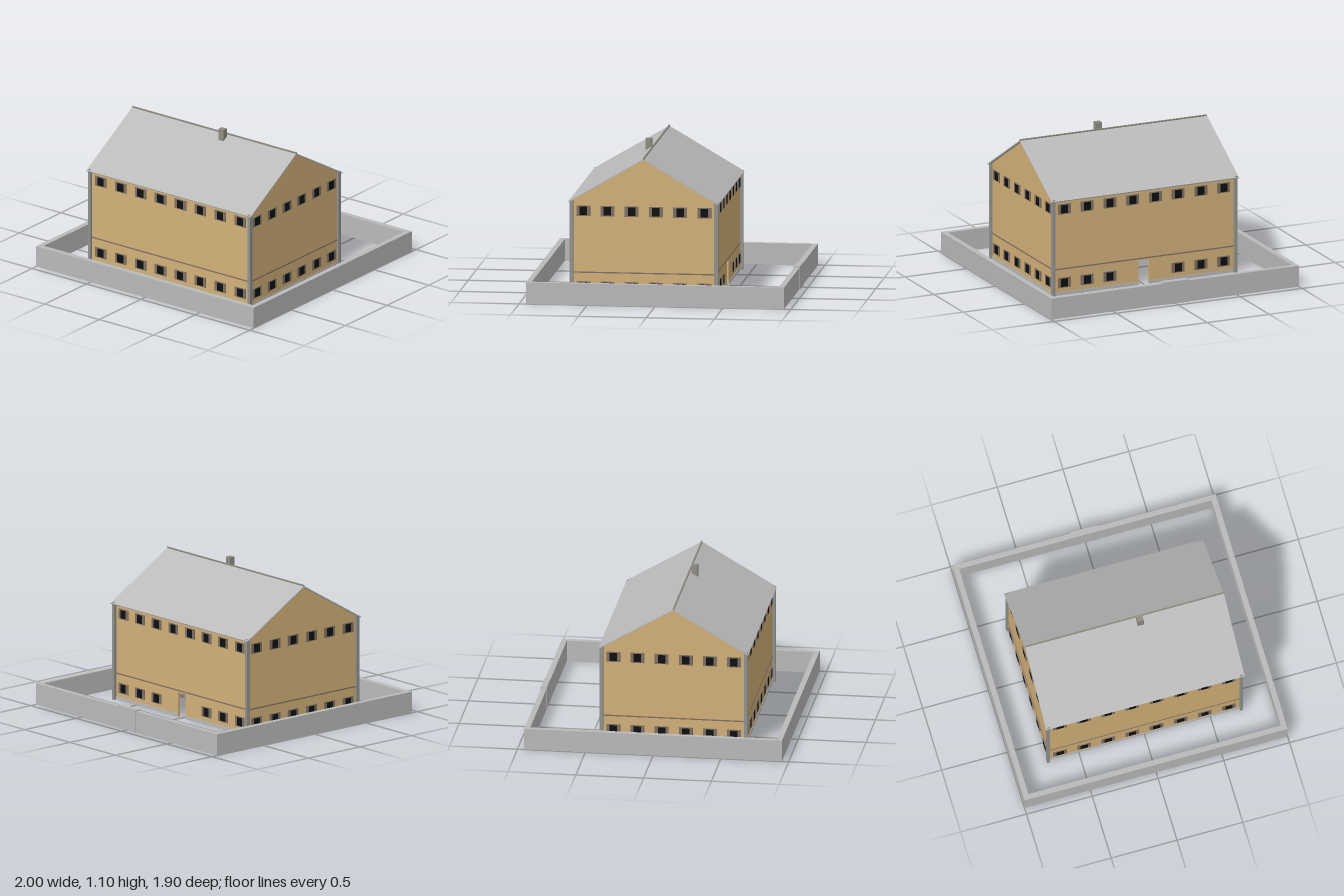
import * as THREE from 'three';

const mat = (name, color, side = THREE.FrontSide) => {
  const m = new THREE.MeshStandardMaterial({ color, side });
  m.name = name;
  return m;
};

export function createModel() {
  const model = new THREE.Group();
  const grey = mat('light grey', 0xbababa);
  const tan = mat('tan plaster', 0xd3b179);
  const post = mat('post grey', 0x92928e);
  const stone = mat('chimney stone', 0x8f8d82);
  const brown = mat('brown trim', 0x7f7064);
  const slabBrown = mat('dark brown', 0x5c4c42);
  const black = mat('window black', 0x0e1010);

  const add = (parent, name, geo, material, x = 0, y = 0, z = 0) => {
    const m = new THREE.Mesh(geo, material);
    m.name = name;
    m.position.set(x, y, z);
    parent.add(m);
    return m;
  };
  const box = (parent, name, material, x0, x1, y0, y1, z0, z1) =>
    add(parent, name, new THREE.BoxGeometry(x1 - x0, y1 - y0, z1 - z0), material,
      (x0 + x1) / 2, (y0 + y1) / 2, (z0 + z1) / 2);
  const extrude = (points, depth) => new THREE.ExtrudeGeometry(
    new THREE.Shape(points.map(p => new THREE.Vector2(...p))), { depth, bevelEnabled: false });

  // Yard wall with a gate at the back
  const yard = new THREE.Group();
  yard.name = 'yardWall';
  model.add(yard);
  const H = 0.16, T = 0.04;
  for (const s of [-1, 1]) {
    add(yard, 'longWall', new THREE.BoxGeometry(2, H, T), grey, 0, H / 2, s * (0.95 - T / 2));
    add(yard, 'sideWall', new THREE.BoxGeometry(T, H, 1.9 - 2 * T), grey, s * (1 - T / 2), H / 2, 0);
  }
  box(yard, 'gate', grey, -0.105, 0.1, 0, 0.17, -0.955, -0.908);

  // House, built around its own ridge line
  const house = new THREE.Group();
  house.name = 'house';
  house.position.z = 0.115;
  model.add(house);
  const X = 0.73, Z = 0.525, W = 0.02, EAVE = 0.733, APEX = 1.041;

  // Gable walls
  for (const s of [-1, 1]) {
    const g = extrude([[-Z, 0], [Z, 0], [Z, EAVE], [0, APEX], [-Z, EAVE]], W);
    g.rotateY(Math.PI / 2);
    add(house, 'gableWall', g, tan, s > 0 ? X - W : -X);
  }
  // Front wall, and back wall with its doorway
  const L = X - W, D = 0.042;
  box(house, 'frontWall', tan, -L, L, 0, EAVE, Z - W, Z);
  add(house, 'backWall', extrude([[-L, 0], [-D, 0], [-D, 0.185], [D, 0.185], [D, 0],
    [L, 0], [L, EAVE], [-L, EAVE]], W), tan, 0, 0, -Z);

  // Upper floor slab, showing as a thin band outside
  box(house, 'floorSlab', slabBrown, -L, L, 0.185, 0.2, -Z + W, Z - W);
  for (const s of [-1, 1]) {
    add(house, 'band', new THREE.BoxGeometry(2 * X, 0.009, 0.006), brown, 0, 0.2, s * Z);
    add(house, 'band', new THREE.BoxGeometry(0.006, 0.009, 2 * Z), brown, s * X, 0.2, 0);
    // Low plinth
    add(house, 'plinth', new THREE.BoxGeometry(0.006, 0.025, 2 * Z), grey, s * X, 0.0125, 0);
    box(house, 'plinth', grey, s > 0 ? D : -X, s > 0 ? X : -D, 0, 0.025, -Z - 0.003, -Z + 0.003);
  }
  add(house, 'plinth', new THREE.BoxGeometry(2 * X, 0.025, 0.006), grey, 0, 0.0125, Z);

  // Corner posts
  for (const sx of [-1, 1]) for (const sz of [-1, 1])
    add(house, 'cornerPost', new THREE.BoxGeometry(0.022, 0.735, 0.028), post,
      sx * 0.734, 0.3675, sz * 0.533);

  // Windows: a surround plate with a dark pane
  const surround = new THREE.BoxGeometry(0.102, 0.076, 0.008);
  const pane = new THREE.BoxGeometry(0.055, 0.062, 0.006);
  const addWindow = (x, y, z, angle) => {
    const w = new THREE.Group();
    w.name = 'window';
    w.position.set(x, y, z);
    w.rotation.y = angle;
    add(w, 'surround', surround, brown, 0, 0, 0.002);
    add(w, 'pane', pane, black, 0, 0, 0.005);
    house.add(w);
  };
  for (const y of [0.095, 0.655]) {
    for (let i = 0; i < 8; i++) {
      const x = -0.642 + i * 0.1834;
      addWindow(x, y, Z, 0);
      if (y > 0.5 || i < 3 || i > 4) addWindow(x, y, -Z, Math.PI);
    }
    for (let i = 0; i < 6; i++) {
      const z = -0.445 + i * 0.178;
      addWindow(X, y, z, Math.PI / 2);
      addWindow(-X, y, z, -Math.PI / 2);
    }
  }

  // Thin pitched roof
  const roof = extrude([[-0.553, 0.726], [-0.55, 0.718], [0, APEX], [0.55, 0.718],
    [0.553, 0.726], [0, 1.05]], 1.51);
  roof.rotateY(Math.PI / 2);
  add(house, 'roof', roof, grey, -0.755);
  box(house, 'ridgeCap', stone, -0.755, 0.755, 1.044, 1.057, -0.005, 0.005);
  box(house, 'chimney', stone, 0.083, 0.13, 1.0, 1.1, 0.018, 0.062);

  return model;
}
